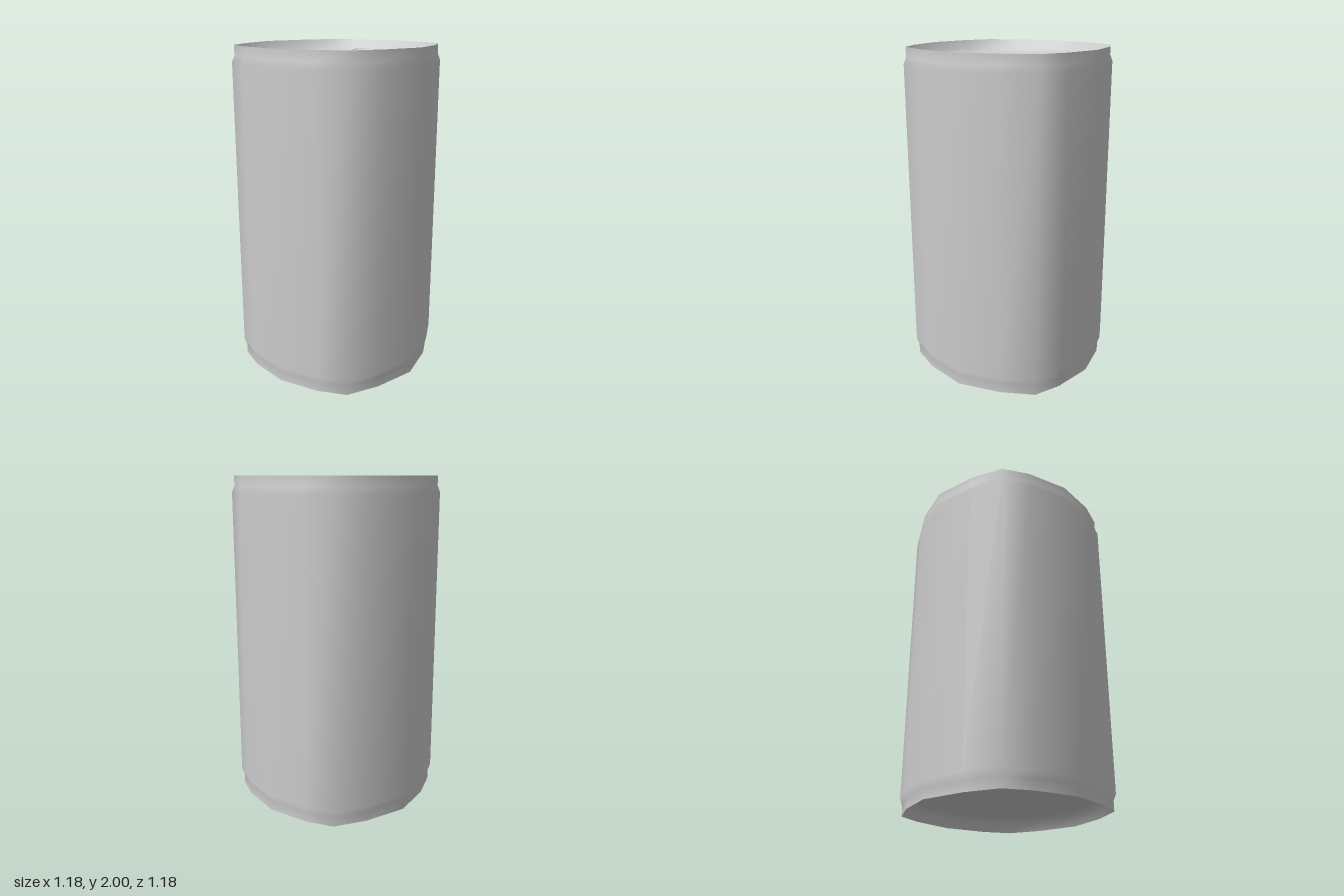
import * as THREE from 'three';
import { mergeGeometries, mergeVertices } from 'three/addons/utils/BufferGeometryUtils.js';

// Mirror a half outline (z >= 0) through the origin to close the ring.
const close = half => [...half, ...half.map(([x, z]) => [-x, -z])];

// Skin a ring of [x, z] points through rows of [scale, y], as bare indexed geometry.
function loft(ring, rows, cx = 0) {
  const pos = [], index = [], n = ring.length;
  for (const [s, y] of rows) for (const [x, z] of ring) pos.push(cx + x * s, y, z * s);
  for (let r = 0; r < rows.length - 1; r++) {
    for (let i = 0; i < n; i++) {
      const j = (i + 1) % n, a = r * n + i, b = r * n + j;
      if (rows[r][0] > 0) index.push(a, a + n, b);
      if (rows[r + 1][0] > 0) index.push(b, a + n, b + n);
    }
  }
  const g = new THREE.BufferGeometry();
  g.setAttribute('position', new THREE.Float32BufferAttribute(pos, 3));
  g.setIndex(index);
  return g;
}

// Weld shared corners so the surface shades smoothly.
function smooth(...parts) {
  parts.forEach(p => { p.deleteAttribute('normal'); p.deleteAttribute('uv'); });
  const g = mergeVertices(mergeGeometries(parts), 1e-4);
  g.computeVertexNormals();
  return g;
}

export function createModel() {
  const group = new THREE.Group();
  const material = new THREE.MeshStandardMaterial({ color: 0xcccccc, side: THREE.DoubleSide });
  const add = (name, geometry) => {
    const mesh = new THREE.Mesh(geometry, material);
    mesh.name = name;
    group.add(mesh);
  };

  // Sixteen-sided, slightly squared can outline
  const outline = close([
    [0.59, 0], [0.54, 0.265], [0.465, 0.43], [0.27, 0.525],
    [0, 0.59], [-0.27, 0.525], [-0.465, 0.43], [-0.54, 0.265],
  ]);
  const rim = 0.975, lidScale = 0.86, lidY = 1.92;

  // Side wall with narrowed necks
  add('body', smooth(loft(outline, [
    [rim, 0], [rim, 0.06], [1, 0.1], [1, 1.9], [rim, 1.94], [rim, 2],
  ])));

  // Drinking opening outline
  const opening = [
    [0.11, 0], [0.09, 0.177], [-0.15, 0.2], [-0.325, 0.177],
    [-0.413, 0], [-0.325, -0.177], [-0.15, -0.2], [0.09, -0.177],
  ];

  // Dished lid with the opening cut out
  const toPoints = (ring, s = 1) => ring.map(([x, z]) => new THREE.Vector2(x * s, -z * s));
  const panel = new THREE.Shape(toPoints(outline, lidScale));
  panel.holes.push(new THREE.Path(toPoints(opening)));
  const flat = new THREE.ShapeGeometry(panel).rotateX(-Math.PI / 2).translate(0, lidY, 0);
  add('lid', smooth(loft(outline, [[rim, 2], [0.92, 1.945], [lidScale, lidY]]), flat));

  // Recess below the opening
  const mid = -0.15;
  const centred = opening.map(([x, z]) => [x - mid, z]);
  add('openingRecess', smooth(loft(centred, [[1, lidY], [0.95, 1.77], [0, 1.71]], mid)));

  // Small raised pull tab
  const tab = [
    [0.03, 0], [0.014, 0.09], [0, 0.19], [-0.014, 0.09],
    [-0.055, 0], [-0.014, -0.09], [0, -0.19], [0.014, -0.09],
  ];
  add('pullTab', smooth(loft(tab, [[1, lidY], [0.45, 1.955], [0, 1.965]], 0.28)));

  // Dished underside
  add('base', smooth(loft(outline, [[0, 0.08], [lidScale, 0.08], [0.92, 0.055], [rim, 0]])));

  return group;
}
